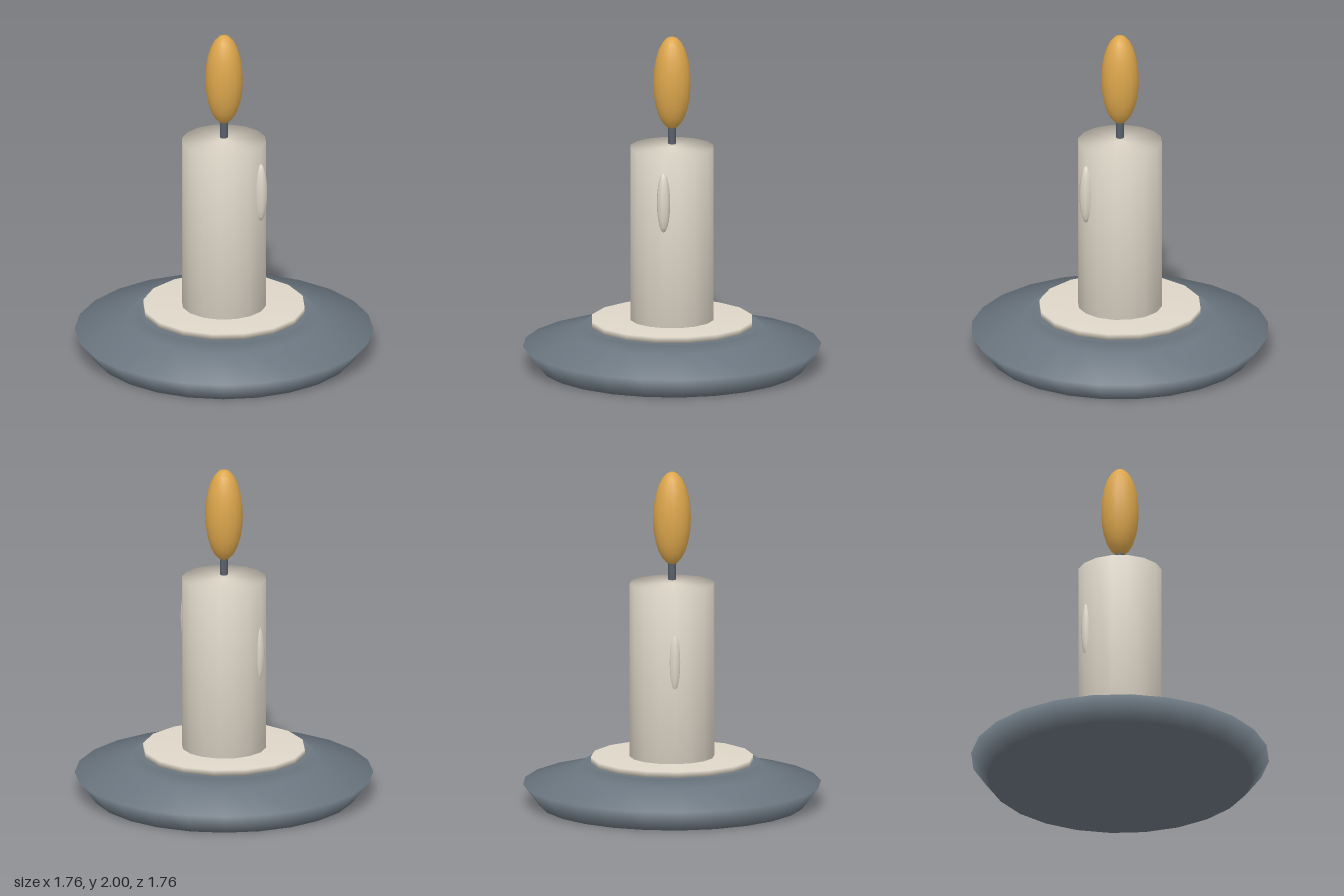
import * as THREE from 'three';

const slate = new THREE.MeshStandardMaterial({ name: 'slate dish', color: 0x6b7680 });
const wax = new THREE.MeshStandardMaterial({ name: 'cream wax', color: 0xded6c8 });
const fire = new THREE.MeshStandardMaterial({ name: 'amber flame', color: 0xdca64c });
const char = new THREE.MeshStandardMaterial({ name: 'charred wick', color: 0x59616b });

export function createModel() {
  const model = new THREE.Group();
  model.name = 'candle';

  // Turned part from [radius, height] pairs, bottom to top
  const turned = (name, profile, sides, material) => {
    const points = profile.map(([r, y]) => new THREE.Vector2(r, y));
    const mesh = new THREE.Mesh(new THREE.LatheGeometry(points, sides), material);
    mesh.name = name;
    model.add(mesh);
  };

  // Stretched ball
  const ellipsoid = (name, center, radii, sides, rings, material) => {
    const geometry = new THREE.SphereGeometry(1, sides, rings);
    geometry.scale(...radii);
    const mesh = new THREE.Mesh(geometry, material);
    mesh.position.set(...center);
    mesh.name = name;
    model.add(mesh);
  };

  // Holder with a shallow well inside its rim
  turned('dish', [[0, 0], [0.78, 0], [0.88, 0.13], [0.57, 0.21], [0.52, 0.255], [0.46, 0.18], [0, 0.17]], 24, slate);

  // Melted wax pool and the candle standing on it
  turned('waxPool', [[0, 0.255], [0.48, 0.255], [0.48, 0.29], [0, 0.29]], 16, wax);
  turned('candleBody', [[0, 0.28], [0.25, 0.28], [0.25, 1.33], [0, 1.33]], 16, wax);

  // Wax drips on both sides
  ellipsoid('leftDrip', [0.25, 1.05, 0], [0.04, 0.18, 0.04], 8, 10, wax);
  ellipsoid('rightDrip', [-0.235, 0.9, 0], [0.035, 0.18, 0.035], 8, 10, wax);

  // Wick and flame
  const wick = new THREE.Mesh(new THREE.CylinderGeometry(0.023, 0.023, 0.12, 8), char);
  wick.position.y = 1.41;
  wick.name = 'wick';
  model.add(wick);
  ellipsoid('flame', [0, 1.72, 0], [0.112, 0.28, 0.112], 16, 12, fire);

  return model;
}
